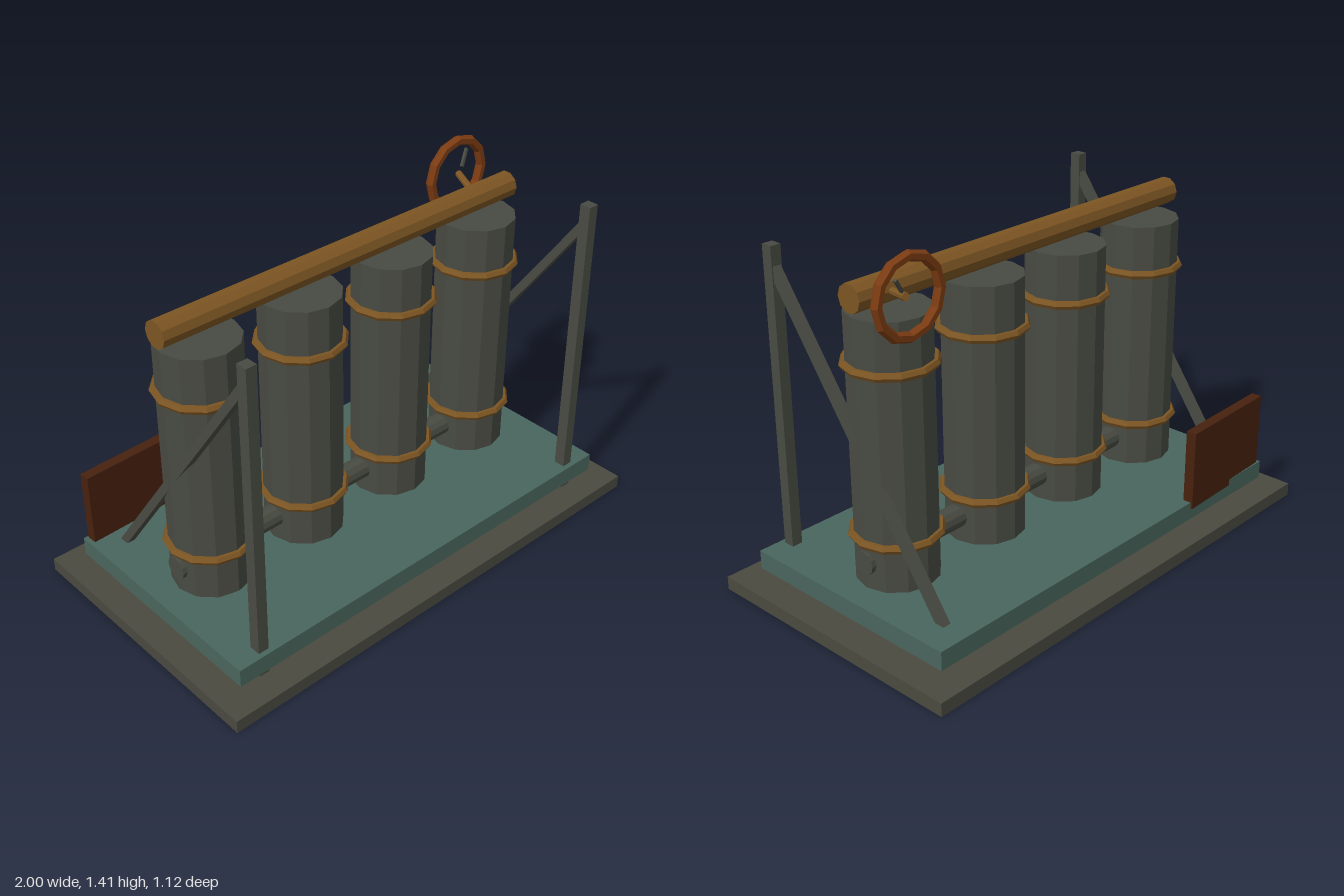
import * as THREE from 'three';

const flat = (name, color) => {
  const m = new THREE.MeshStandardMaterial({ color, flatShading: true });
  m.name = name;
  return m;
};

export function createModel() {
  const model = new THREE.Group();
  model.name = 'tankRack';

  const stone = flat('stone grey', 0x4a4a40);
  const iron = flat('iron grey', 0x484b42);
  const teal = flat('oxidised teal', 0x49665d);
  const brass = flat('aged brass', 0x7c5523);
  const rust = flat('rust orange', 0x7d3c12);
  const panelBrown = flat('dark brown', 0x48210e);

  const add = (name, geometry, material, x = 0, y = 0, z = 0) => {
    const mesh = new THREE.Mesh(geometry, material);
    mesh.name = name;
    mesh.position.set(x, y, z);
    model.add(mesh);
    return mesh;
  };

  // Places a mesh modelled along +y between two points
  const span = (name, a, b, makeGeometry, material) => {
    const dir = b.clone().sub(a);
    const mesh = add(name, makeGeometry(dir.length()), material);
    mesh.position.copy(a).lerp(b, 0.5);
    mesh.quaternion.setFromUnitVectors(new THREE.Vector3(0, 1, 0), dir.normalize());
    return mesh;
  };
  const v = (x, y, z) => new THREE.Vector3(x, y, z);

  // Ground plate and raised deck
  add('basePlate', new THREE.BoxGeometry(2, 0.052, 1.115), stone, 0, 0.026, 0);
  add('deck', new THREE.BoxGeometry(1.82, 0.073, 0.938), teal, 0, 0.122, 0);

  // Four tanks, each with two brass bands
  const tankGeo = new THREE.CylinderGeometry(0.153, 0.153, 1.005, 12);
  const bandGeo = new THREE.TorusGeometry(0.157, 0.017, 6, 12).rotateX(Math.PI / 2);
  for (const x of [-0.66, -0.22, 0.22, 0.66]) {
    add('tank', tankGeo, iron, x, 0.658, 0);
    for (const y of [0.333, 0.972]) add('tankBand', bandGeo, brass, x, y, 0);
  }

  // Low connecting pipe and overhead manifold
  add('connectingPipe', new THREE.CylinderGeometry(0.045, 0.045, 1.64, 12).rotateZ(Math.PI / 2), iron, 0, 0.258, 0);
  add('manifold', new THREE.CylinderGeometry(0.052, 0.052, 1.65, 10).rotateZ(Math.PI / 2), brass, 0, 1.231, 0);

  // Front posts with diagonal braces running to the back
  for (const x of [-0.79, 0.79]) {
    add('post', new THREE.BoxGeometry(0.043, 1.26, 0.045), iron, x, 0.68, 0.426);
    span('brace', v(x, 1.24, 0.426), v(x, 0.06, -0.425),
      (h) => new THREE.BoxGeometry(0.033, h, 0.033), iron);
  }

  // Valve wheel with its stem and the one remaining spoke
  add('valveWheel', new THREE.TorusGeometry(0.137, 0.02, 6, 12), rust, 0.718, 1.25, -0.165);
  span('valveStem', v(0.665, 1.222, 0), v(0.725, 1.25, -0.16),
    (h) => new THREE.CylinderGeometry(0.014, 0.014, h, 8), brass);
  span('brokenSpoke', v(0.742, 1.273, -0.16), v(0.788, 1.328, -0.182),
    (h) => new THREE.BoxGeometry(0.011, h, 0.011), iron);

  // Loose panel leaning at the back of the deck
  const panel = add('loosePanel', new THREE.BoxGeometry(0.458, 0.322, 0.042), panelBrown, -0.664, 0.294, -0.449);
  panel.rotation.y = 0.033;

  return model;
}
